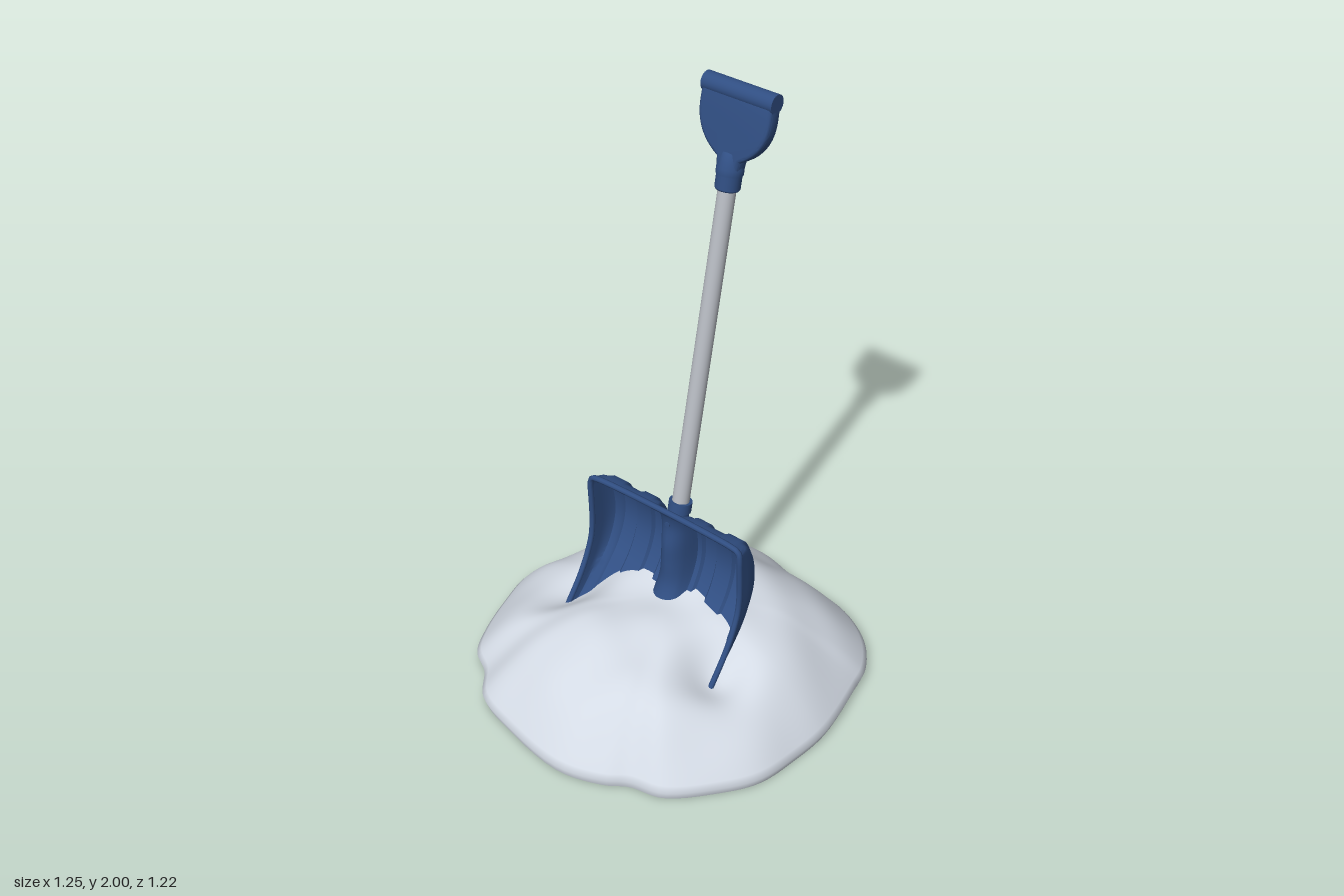
import * as THREE from 'three';
import { toCreasedNormals } from 'three/addons/utils/BufferGeometryUtils.js';

const snowMat = new THREE.MeshStandardMaterial({ color: 0xd3dae4 });
snowMat.name = 'snow white';
const plasticMat = new THREE.MeshStandardMaterial({ color: 0x304e82, side: THREE.DoubleSide });
plasticMat.name = 'navy plastic';
const poleMat = new THREE.MeshStandardMaterial({ color: 0xb6bac1 });
poleMat.name = 'pale metal';

function add(parent, name, geometry, material, x = 0, y = 0, z = 0) {
  const mesh = new THREE.Mesh(geometry, material);
  mesh.name = name;
  mesh.position.set(x, y, z);
  parent.add(mesh);
  return mesh;
}

function indexed(positions, index) {
  const g = new THREE.BufferGeometry();
  g.setAttribute('position', new THREE.Float32BufferAttribute(positions, 3));
  g.setIndex(index);
  g.computeVertexNormals();
  return g;
}

// Snow heap: scaled copies of the ground outline, raised by a height rule
const outline = new THREE.CatmullRomCurve3([
  [0.62, -0.05], [0.58, -0.28], [0.56, -0.36], [0.48, -0.47], [0.33, -0.555], [0.12, -0.58],
  [-0.03, -0.61], [-0.25, -0.54], [-0.5, -0.4], [-0.535, -0.28], [-0.6, -0.1], [-0.63, 0],
  [-0.6, 0.15], [-0.55, 0.3], [-0.5, 0.39], [-0.42, 0.44], [-0.34, 0.53], [-0.2, 0.575],
  [0.05, 0.61], [0.2, 0.565], [0.27, 0.52], [0.38, 0.49], [0.5, 0.37], [0.58, 0.25], [0.61, 0.1],
].map(([x, z]) => new THREE.Vector3(x, 0, z)), true);

// Mounds and hollows: x, z, spread, height
const lumps = [
  [0, -0.18, 0.15, 0.075], [-0.36, 0, 0.1, -0.035], [0.3, 0.13, 0.08, -0.07],
  [-0.3, 0.13, 0.08, -0.06], [0, 0.03, 0.08, -0.035], [0.36, -0.1, 0.1, 0.015],
  [-0.1, 0.3, 0.08, 0.012], [0.25, 0.36, 0.07, 0.015], [-0.34, -0.3, 0.09, 0.015],
];

function snowHeight(x, z, s) {
  let h = 0.03 + 0.27 * (1 - s ** 3);
  for (const [lx, lz, w, a] of lumps) {
    h += a * Math.exp(-((x - lx) ** 2 + (z - lz) ** 2) / (2 * w * w));
  }
  const ripple = Math.sin(11 * x + 5 * z) * Math.sin(13 * z - 4 * x + 1)
    + 0.6 * Math.sin(23 * x - 9 * z + 2) * Math.sin(19 * z + 8 * x);
  return h + 0.009 * ripple * (1 - s ** 4);
}

function snowGeometry(rings = 44, around = 128) {
  const pos = [], index = [];
  for (let r = 0; r <= rings + 1; r++) {
    const foot = r > rings;
    const s = foot ? 0.985 : r / rings;
    for (let i = 0; i < around; i++) {
      const p = outline.getPoint(i / around).multiplyScalar(s);
      pos.push(p.x, foot ? 0 : snowHeight(p.x, p.z, s), p.z);
      if (foot) continue;
      const a = r * around + i, c = r * around + (i + 1) % around;
      const b = a + around, d = c + around;
      if (r > 0) index.push(a, b, c);
      index.push(b, d, c);
    }
  }
  return indexed(pos, index);
}

function snowBaseGeometry(around = 128) {
  const pos = [0, 0, 0], index = [];
  for (let i = 0; i < around; i++) {
    const p = outline.getPoint(i / around).multiplyScalar(0.985);
    pos.push(p.x, 0, p.z);
    index.push(0, 1 + (i + 1) % around, 1 + i);
  }
  return indexed(pos, index);
}

// Blade side curves, top to bottom; x of the back curve is the depth of the centre channel
const backCurve = new THREE.CatmullRomCurve3([
  [0, 0.65, 0.012], [0.04, 0.628, -0.045], [0.065, 0.575, -0.08], [0.093, 0.5, -0.098],
  [0.09, 0.43, -0.094], [0.06, 0.35, -0.06], [0.03, 0.28, 0], [0, 0.215, 0.07], [0, 0.16, 0.14],
].map((p) => new THREE.Vector3(...p)));
const frontCurve = new THREE.CatmullRomCurve3([
  [0, 0.655, 0.015], [0, 0.62, 0.015], [0, 0.56, 0.013], [0, 0.48, 0.01],
  [0, 0.4, 0.018], [0, 0.32, 0.05], [0, 0.255, 0.09], [0, 0.205, 0.13], [0, 0.165, 0.16],
].map((p) => new THREE.Vector3(...p)));

// Half cross-section from rim to centre: x, share of front curve, rib
const halfSection = [
  [0.303, 1, 0], [0.3, 0.6, 0], [0.297, 0.3, 0], [0.288, 0.1, 0], [0.27, 0, 0],
  [0.262, 0, 1], [0.208, 0, 1], [0.2, 0, 0], [0.138, 0, 0], [0.13, 0, 1], [0.085, 0, 1],
  [0.077, 0, 0], [0.06, 0, 0], [0.055, 0, 0], [0.047, 0, 0], [0.035, 0, 0], [0.018, 0, 0],
];

function bladeGeometry(rows = 40) {
  const left = halfSection.map(([x, f, r]) => [-x, f, r]);
  const outer = [...left, [0, 0, 0], ...[...halfSection].reverse()];
  const loop = [...outer.map((p) => [...p, 0]), ...[...outer].reverse().map((p) => [...p, 1])];
  const n = loop.length, pos = [], index = [];
  for (let r = 0; r <= rows; r++) {
    const u = r / rows, back = backCurve.getPoint(u), front = frontCurve.getPoint(u);
    const narrow = 1 - 0.06 * Math.max(0, 1 - u * 8) ** 2;
    loop.forEach(([x, f, rib, inside], i) => {
      const channel = back.x * Math.sqrt(Math.max(0, 1 - (x / 0.056) ** 2));
      const z = THREE.MathUtils.lerp(back.z, front.z, f) + channel
        - 0.011 * rib * Math.min(1, u * 8) + 0.008 * inside * (1 - f);
      pos.push(x * narrow * (1 - 0.025 * inside), THREE.MathUtils.lerp(back.y, front.y, f), z);
      if (r === rows) return;
      const a = r * n + i, b = r * n + (i + 1) % n;
      index.push(a, b, a + n, b, b + n, a + n);
    });
  }
  return toCreasedNormals(indexed(pos, index), 0.6);
}

// Rolled edge running up one side, over the top and down the other
function rimGeometry() {
  const side = [];
  for (let k = 10; k >= 1; k--) {
    const p = frontCurve.getPoint(k / 10);
    side.push(new THREE.Vector3(0.303, Math.min(p.y, 0.61), p.z));
  }
  side.push(new THREE.Vector3(0.296, 0.643, 0.015), new THREE.Vector3(0.27, 0.651, 0.015));
  const other = side.map((p) => new THREE.Vector3(-p.x, p.y, p.z)).reverse();
  return new THREE.TubeGeometry(new THREE.CatmullRomCurve3([...side, ...other]), 120, 0.01, 8);
}

// D-shaped grip frame
function gripGeometry() {
  const s = new THREE.Shape();
  s.moveTo(-0.036, 0.05);
  s.lineTo(0.036, 0.05);
  s.lineTo(0.042, 0.095);
  s.bezierCurveTo(0.095, 0.125, 0.127, 0.17, 0.127, 0.24);
  s.lineTo(0.125, 0.3);
  s.lineTo(-0.125, 0.3);
  s.lineTo(-0.127, 0.24);
  s.bezierCurveTo(-0.127, 0.17, -0.095, 0.125, -0.042, 0.095);
  const hole = new THREE.Path();
  hole.moveTo(-0.098, 0.28);
  hole.lineTo(0.098, 0.28);
  hole.bezierCurveTo(0.1, 0.19, 0.06, 0.142, 0, 0.142);
  hole.bezierCurveTo(-0.06, 0.142, -0.1, 0.19, -0.098, 0.28);
  s.holes.push(hole);
  const g = new THREE.ExtrudeGeometry(s, {
    depth: 0.026, bevelSize: 0.012, bevelThickness: 0.012, bevelOffset: -0.012, bevelSegments: 3, curveSegments: 16,
  });
  return toCreasedNormals(g.translate(0, 0, -0.013), 0.7);
}

export function createModel() {
  const model = new THREE.Group();
  model.name = 'snow shovel in snow heap';

  const heap = new THREE.Group();
  heap.name = 'snowHeap';
  add(heap, 'snowTop', snowGeometry(), snowMat);
  add(heap, 'snowBase', snowBaseGeometry(), snowMat);

  const blade = new THREE.Group();
  blade.name = 'blade';
  add(blade, 'bladeShell', bladeGeometry(), plasticMat);
  add(blade, 'bladeRim', rimGeometry(), plasticMat);
  const screw = add(blade, 'screw', new THREE.CylinderGeometry(0.009, 0.009, 0.01, 12), plasticMat, 0, 0.59, -0.008);
  screw.rotation.x = Math.PI / 2;

  // Leaning handle, measured along its own axis from the blade socket
  const handle = new THREE.Group();
  handle.name = 'handle';
  handle.position.set(0, 0.62, -0.069);
  handle.rotation.x = -0.199;
  add(handle, 'pole', new THREE.CylinderGeometry(0.028, 0.028, 1.12, 24), poleMat, 0, 0.55, 0);
  add(handle, 'socket', new THREE.CylinderGeometry(0.035, 0.025, 0.2, 24), plasticMat, 0, -0.08, 0);
  add(handle, 'socketRing', new THREE.CylinderGeometry(0.038, 0.038, 0.035, 24), plasticMat, 0, 0.008, 0);

  const grip = new THREE.Group();
  grip.name = 'grip';
  grip.position.y = 1.082;
  add(grip, 'gripCollar', new THREE.LatheGeometry([
    [0, 0], [0.036, 0], [0.039, 0.005], [0.039, 0.045], [0.042, 0.05], [0.042, 0.068], [0.037, 0.085], [0.03, 0.115], [0, 0.125],
  ].map((p) => new THREE.Vector2(...p)), 24), plasticMat);
  add(grip, 'gripFrame', gripGeometry(), plasticMat);
  const bar = add(grip, 'gripBar', new THREE.CapsuleGeometry(0.03, 0.2, 1, 20), plasticMat, 0, 0.294, 0);
  bar.geometry = new THREE.CylinderGeometry(0.03, 0.03, 0.252, 24);
  bar.rotation.z = Math.PI / 2;
  handle.add(grip);

  model.add(heap, blade, handle);
  return model;
}
